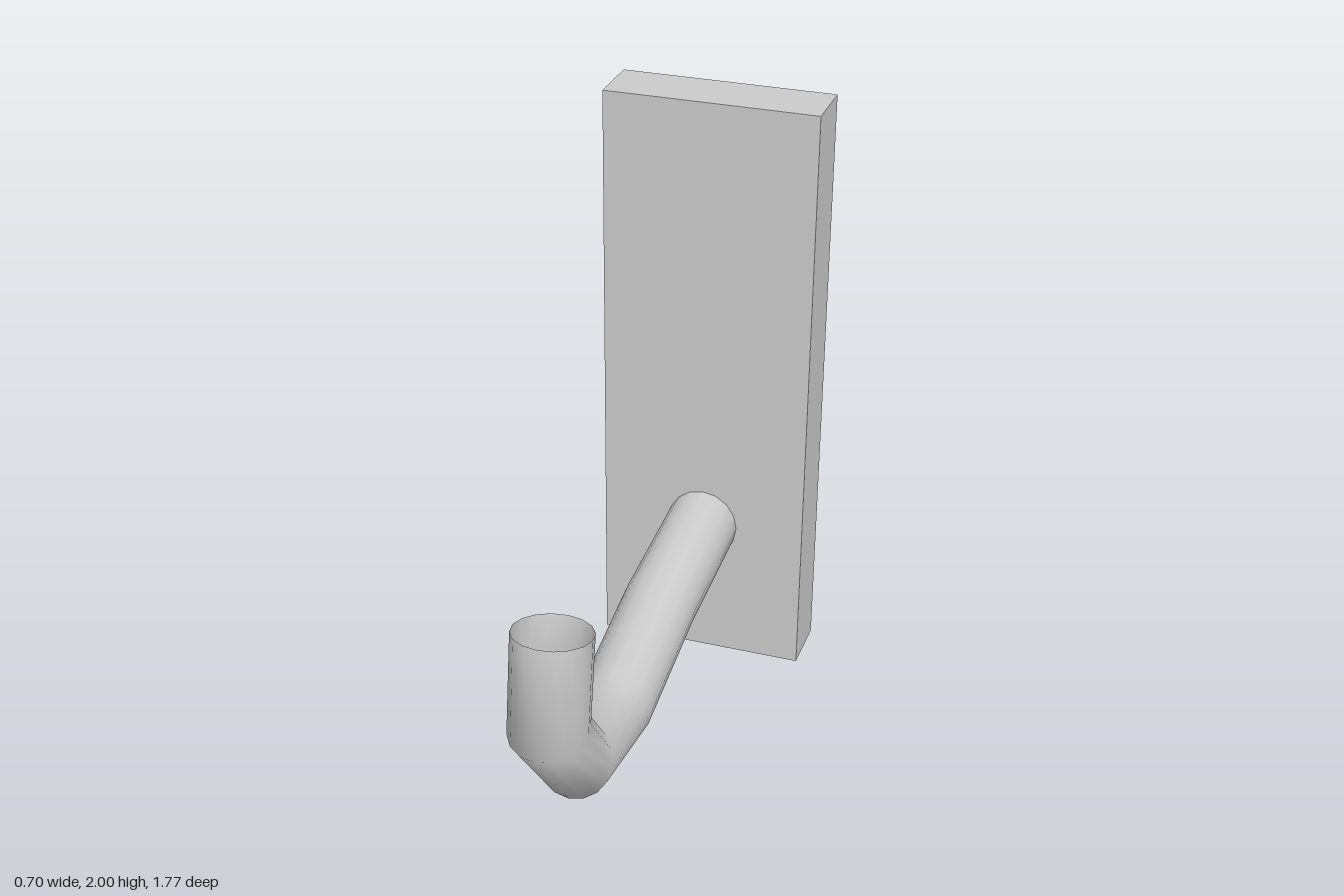
import * as THREE from 'three';

const SIDES = 16, RADIUS = 0.12;

// Open bent pipe skinned over rings, each given by its outer and inner edge as [z, y]
function bentPipe(rings) {
  const positions = [], indices = [];
  rings.forEach(([outerZ, outerY, innerZ, innerY], i) => {
    const cz = (outerZ + innerZ) / 2, cy = (outerY + innerY) / 2;
    for (let j = 0; j < SIDES; j++) {
      const a = (j / SIDES) * Math.PI * 2, c = Math.cos(a);
      positions.push(RADIUS * Math.sin(a), cy + c * (outerY - cy), cz + c * (outerZ - cz));
      if (i < rings.length - 1) {
        const k = (j + 1) % SIDES, p = i * SIDES, q = p + SIDES;
        indices.push(p + j, p + k, q + j, p + k, q + k, q + j);
      }
    }
  });
  const geometry = new THREE.BufferGeometry();
  geometry.setAttribute('position', new THREE.Float32BufferAttribute(positions, 3));
  geometry.setIndex(indices);
  geometry.computeVertexNormals();
  return geometry;
}

export function createModel() {
  const group = new THREE.Group();
  group.name = 'wallHook';

  // Flat wall plate
  const plate = new THREE.Mesh(
    new THREE.BoxGeometry(0.7, 2, 0.2),
    new THREE.MeshStandardMaterial({ color: 0xcccccc })
  );
  plate.name = 'backPlate';
  plate.position.set(0, 1, -0.785);
  group.add(plate);

  // Hook arm, from the plate out to its upturned open tip
  const hook = new THREE.Mesh(
    bentPipe([
      [-0.7, 0.374, -0.7, 0.62],
      [-0.258, 0.331, -0.212, 0.573],
      [0.208, 0.23, 0.22, 0.475],
      [0.624, 0.294, 0.51, 0.51],
      [0.885, 0.62, 0.647, 0.682],
      [0.84, 0.971, 0.598, 0.932],
    ]),
    new THREE.MeshStandardMaterial({ color: 0xcccccc, side: THREE.DoubleSide })
  );
  hook.name = 'hook';
  group.add(hook);

  return group;
}
